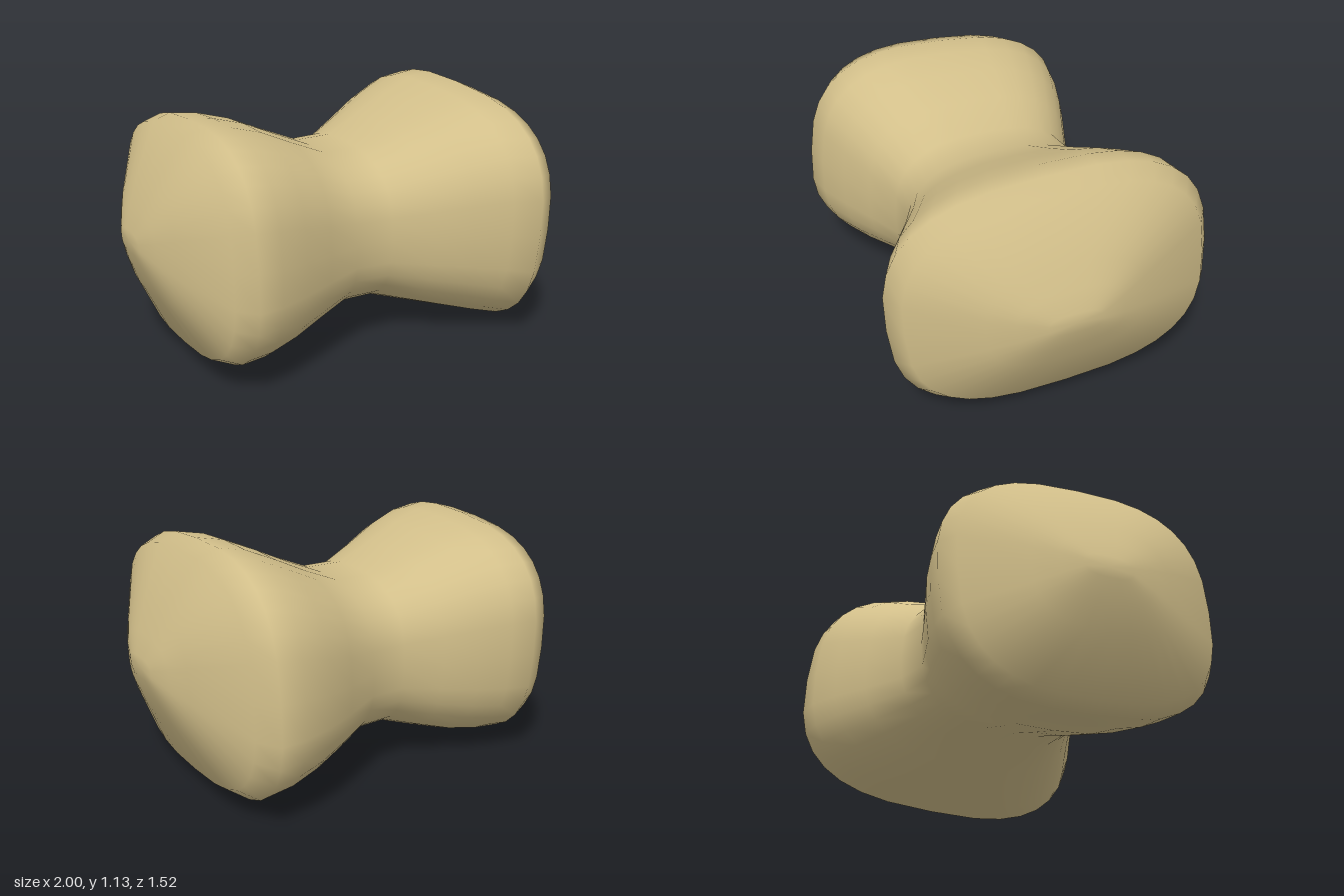
import * as THREE from 'three';

// Cross-sections along x: [x, bottom, top, back z, front z]
const SECTIONS = [
  [-1.0, 0.53, 0.63, -0.09, 0.14],
  [-0.965, 0.43, 0.725, -0.19, 0.26],
  [-0.92, 0.32, 0.83, -0.30, 0.38],
  [-0.79, 0.07, 1.075, -0.57, 0.67],
  [-0.70, 0.035, 1.10, -0.62, 0.72],
  [-0.58, 0.04, 1.085, -0.60, 0.69],
  [-0.43, 0.065, 1.04, -0.56, 0.62],
  [-0.27, 0.11, 0.97, -0.505, 0.54],
  [-0.09, 0.165, 0.895, -0.445, 0.46],
  [0.09, 0.165, 0.895, -0.475, 0.46],
  [0.27, 0.11, 0.97, -0.59, 0.54],
  [0.43, 0.065, 1.045, -0.685, 0.62],
  [0.58, 0.025, 1.11, -0.75, 0.70],
  [0.70, 0.0, 1.13, -0.765, 0.755],
  [0.79, 0.06, 1.09, -0.70, 0.70],
  [0.92, 0.33, 0.82, -0.35, 0.39],
  [0.965, 0.43, 0.725, -0.23, 0.27],
  [1.0, 0.53, 0.63, -0.11, 0.14],
];
const SIDES = 32;

// Unit rounded square, rolled about x; the two ends roll opposite ways
function unitSection(x) {
  const twist = THREE.MathUtils.clamp(x / 0.7, -1, 1);
  const roll = 0.07 * twist;
  const power = 2 / THREE.MathUtils.lerp(2.6, 2.85, Math.abs(twist));
  const points = [];
  for (let i = 0; i < SIDES; i++) {
    const a = (i / SIDES) * Math.PI * 2;
    const c = Math.cos(a), s = Math.sin(a);
    const u = Math.sign(c) * Math.abs(c) ** power;
    const v = Math.sign(s) * Math.abs(s) ** power;
    points.push([u * Math.cos(roll) + v * Math.sin(roll), v * Math.cos(roll) - u * Math.sin(roll)]);
  }
  const maxU = Math.max(...points.map((p) => p[0]));
  const maxV = Math.max(...points.map((p) => p[1]));
  return points.map(([u, v]) => [u / maxU, v / maxV]);
}

function loftGeometry() {
  const pos = [], index = [];
  for (const [x, y0, y1, z0, z1] of SECTIONS) {
    for (const [u, v] of unitSection(x)) {
      pos.push(x, (y0 + y1 + v * (y1 - y0)) / 2, (z0 + z1 + u * (z1 - z0)) / 2);
    }
  }
  const last = SECTIONS.length - 1;
  for (let r = 0; r < last; r++) {
    for (let i = 0; i < SIDES; i++) {
      const a = r * SIDES + i, b = r * SIDES + ((i + 1) % SIDES);
      const d = a + SIDES, e = b + SIDES;
      index.push(a, d, b, b, d, e);
    }
  }
  // Small closing fans at both tips
  const left = pos.length / 3, right = left + 1;
  pos.push(-1, 0.58, 0.025, 1, 0.58, 0.015);
  for (let i = 0; i < SIDES; i++) {
    const j = (i + 1) % SIDES;
    index.push(left, i, j);
    index.push(right, last * SIDES + j, last * SIDES + i);
  }
  const g = new THREE.BufferGeometry();
  g.setAttribute('position', new THREE.Float32BufferAttribute(pos, 3));
  g.setIndex(index);
  g.computeVertexNormals();
  return g;
}

export function createModel() {
  const group = new THREE.Group();
  group.name = 'dumbbellShape';
  // Waisted body with two flared, domed ends
  const body = new THREE.Mesh(loftGeometry(), new THREE.MeshStandardMaterial({ color: 0xd2bf8a }));
  body.name = 'waistedBody';
  group.add(body);
  return group;
}
